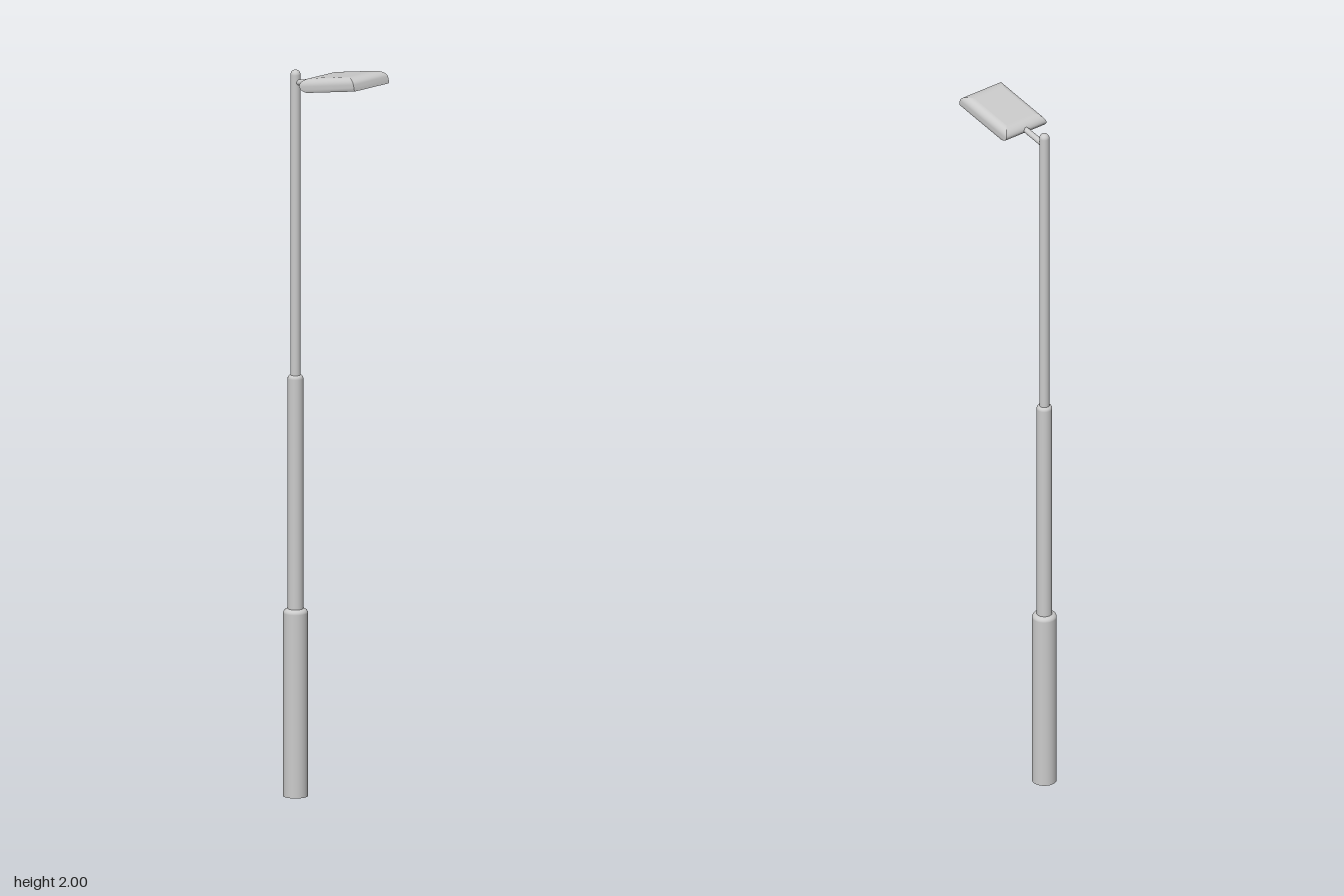
import * as THREE from 'three';

const POLE_Z = -0.12;
const material = new THREE.MeshStandardMaterial({ color: 0xcccccc, side: THREE.DoubleSide });

function addMesh(parent, name, geometry) {
  const mesh = new THREE.Mesh(geometry, material);
  mesh.name = name;
  parent.add(mesh);
  return mesh;
}

// Tube section of the pole, with a rounded shoulder of the given height on top
function poleSection(y0, y1, radius, topRadius, shoulder) {
  const points = [new THREE.Vector2(radius, y0), new THREE.Vector2(radius, y1 - shoulder)];
  for (let i = 1; i <= 6; i++) {
    const a = (i / 6) * Math.PI / 2;
    points.push(new THREE.Vector2(
      topRadius + (radius - topRadius) * Math.cos(a),
      y1 - shoulder + shoulder * Math.sin(a)));
  }
  return new THREE.LatheGeometry(points, 32);
}

// Lamp housing: stacked rectangles [y, halfWidth, front, back], mitred at the corners
function housingGeometry() {
  const layers = [[0, 0.067, 0, -0.176], [0.005, 0.069, 0, -0.187],
    [0.01, 0.069, 0, -0.194], [0.017, 0.069, -0.001, -0.197]];
  for (let i = 1; i <= 8; i++) {
    const a = (i / 8) * Math.PI / 2, inset = 1 - Math.cos(a);
    layers.push([0.017 + 0.02 * Math.sin(a), 0.069 - 0.02 * inset,
      -0.001 - 0.034 * inset, -0.197 + 0.028 * inset]);
  }
  const corners = ([y, w, f, b]) => [[-w, y, f], [w, y, f], [w, y, b], [-w, y, b]];
  const positions = [], index = [];
  // Each side is its own strip: smooth upwards, sharp at the mitres
  for (let s = 0; s < 4; s++) {
    layers.forEach((layer, i) => {
      const c = corners(layer), n = positions.length / 3;
      positions.push(...c[s], ...c[(s + 1) % 4]);
      if (i > 0) index.push(n - 2, n - 1, n + 1, n - 2, n + 1, n);
    });
  }
  // Flat top and underside
  const top = positions.length / 3;
  positions.push(...corners(layers[layers.length - 1]).flat());
  index.push(top, top + 1, top + 2, top, top + 2, top + 3);
  positions.push(...corners(layers[0]).flat());
  index.push(top + 4, top + 6, top + 5, top + 4, top + 7, top + 6);
  const geometry = new THREE.BufferGeometry();
  geometry.setAttribute('position', new THREE.Float32BufferAttribute(positions, 3));
  geometry.setIndex(index);
  geometry.computeVertexNormals();
  return geometry;
}

export function createModel() {
  const model = new THREE.Group();
  model.name = 'streetLamp';

  // Stepped pole with a domed tip
  const pole = new THREE.Group();
  pole.name = 'pole';
  pole.position.z = POLE_Z;
  model.add(pole);
  addMesh(pole, 'lowerPole', poleSection(0, 0.51, 0.033, 0.02, 0.012));
  addMesh(pole, 'middlePole', poleSection(0.5, 1.145, 0.021, 0.013, 0.01));
  addMesh(pole, 'upperPole', poleSection(1.13, 1.975, 0.0135, 0, 0.0135));

  // Short arm carrying the lamp head
  const arm = new THREE.LineCurve3(
    new THREE.Vector3(0, 1.94, POLE_Z), new THREE.Vector3(0, 1.954, -0.035));
  addMesh(model, 'arm', new THREE.TubeGeometry(arm, 1, 0.008, 16));

  // Lamp head, tilted up towards the front
  const head = addMesh(model, 'lampHead', housingGeometry());
  head.position.set(0, 1.967, 0.152);
  head.rotation.x = -0.17;
  return model;
}
